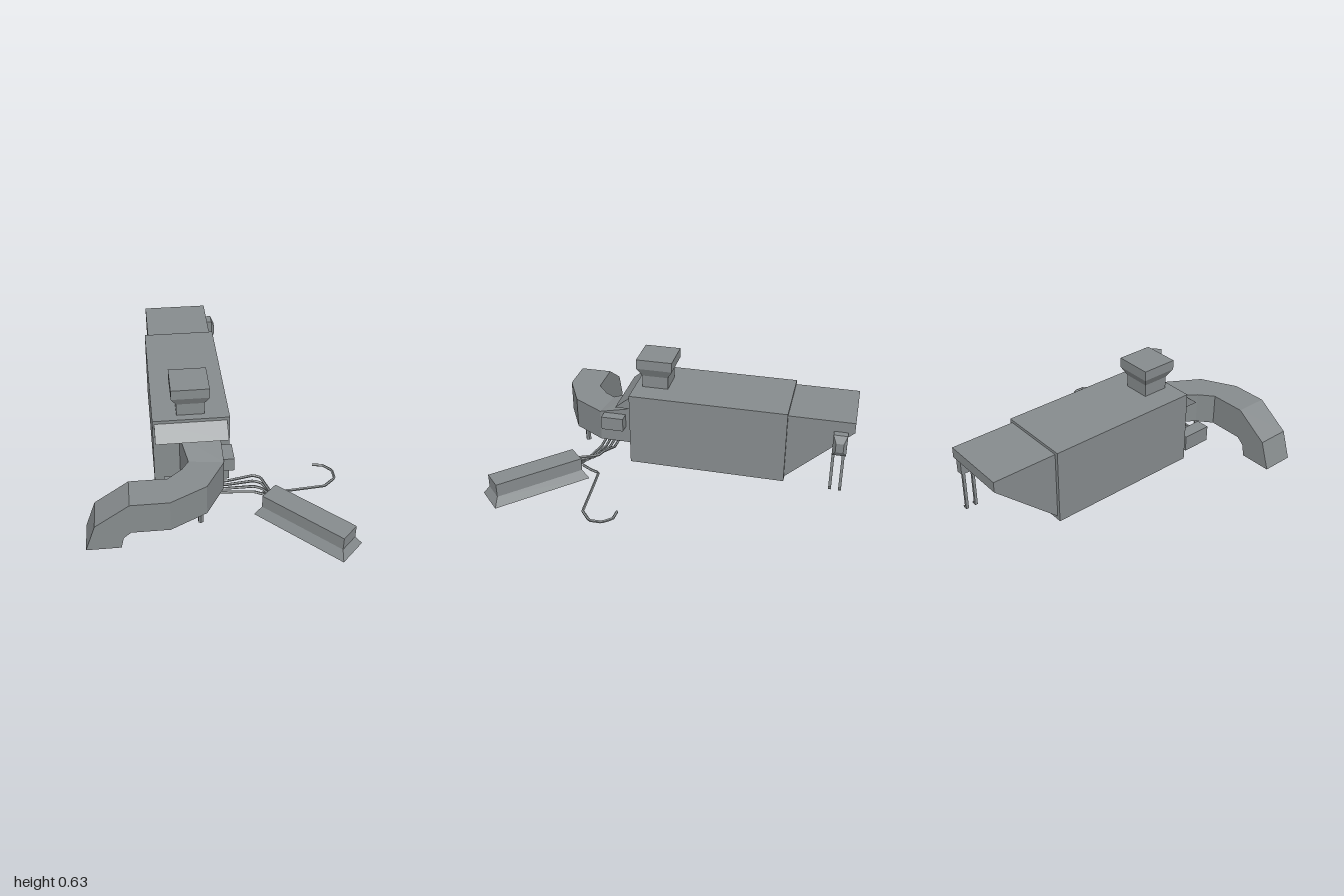
import * as THREE from 'three';

const grey = new THREE.MeshStandardMaterial({ color: 0x868b8d, flatShading: true });
grey.name = 'plain grey';

// Skin a row of equal-sided cross-sections, capped at both ends and facing outward
function loft(sections) {
  const pos = [];
  const tri = (a, b, c) => pos.push(...a, ...b, ...c);
  const n = sections[0].length;
  for (let s = 0; s < sections.length - 1; s++) {
    const a = sections[s], b = sections[s + 1];
    for (let i = 0; i < n; i++) {
      const j = (i + 1) % n;
      tri(a[i], a[j], b[j]);
      tri(a[i], b[j], b[i]);
    }
  }
  const first = sections[0], last = sections[sections.length - 1];
  for (let i = 1; i < n - 1; i++) {
    tri(first[0], first[i + 1], first[i]);
    tri(last[0], last[i], last[i + 1]);
  }
  // turn the faces over if the enclosed volume is negative
  let volume = 0;
  const v = (k) => new THREE.Vector3(pos[k], pos[k + 1], pos[k + 2]);
  for (let k = 0; k < pos.length; k += 9) volume += v(k).dot(v(k + 3).cross(v(k + 6)));
  if (volume < 0) {
    for (let k = 0; k < pos.length; k += 9) {
      for (let c = 0; c < 3; c++) [pos[k + 3 + c], pos[k + 6 + c]] = [pos[k + 6 + c], pos[k + 3 + c]];
    }
  }
  const g = new THREE.BufferGeometry();
  g.setAttribute('position', new THREE.Float32BufferAttribute(pos, 3));
  g.computeVertexNormals();
  return g;
}

// Horizontal rectangle at height y
const rectY = (x0, x1, z0, z1, y) => [[x0, y, z0], [x1, y, z0], [x1, y, z1], [x0, y, z1]];
// Upright rectangle at a given x
const rectX = (x, y0, y1, z0, z1) => [[x, y0, z0], [x, y1, z0], [x, y1, z1], [x, y0, z1]];

export function createModel() {
  const model = new THREE.Group();
  model.name = 'machine';

  const add = (name, geometry, parent = model) => {
    const mesh = new THREE.Mesh(geometry, grey);
    mesh.name = name;
    parent.add(mesh);
    return mesh;
  };
  const box = (name, x0, x1, y0, y1, z0, z1) => {
    const mesh = add(name, new THREE.BoxGeometry(x1 - x0, y1 - y0, z1 - z0));
    mesh.position.set((x0 + x1) / 2, (y0 + y1) / 2, (z0 + z1) / 2);
    return mesh;
  };
  // Side profile in (z, y) stretched between two x values
  const slab = (name, x0, x1, profile) =>
    add(name, loft([x0, x1].map((x) => profile.map(([z, y]) => [x, y, z]))));
  // Angular tube through a few points
  const wire = (name, points, radius = 0.008) => {
    const path = new THREE.CurvePath();
    const p = points.map((q) => new THREE.Vector3(...q));
    for (let i = 0; i < p.length - 1; i++) path.add(new THREE.LineCurve3(p[i], p[i + 1]));
    return add(name, new THREE.TubeGeometry(path, 40, radius, 5));
  };

  // Main housing, sloped rear hood and front awning
  box('housing', -0.34, 0.085, 0.018, 0.456, -0.63, 0.28);
  slab('rearHood', -0.32, 0.068, [[-0.63, 0.44], [-1, 0.44], [-1, 0.38], [-0.63, 0.04]]);
  slab('frontAwning', -0.33, 0.07, [[0.28, 0.437], [0.368, 0.365], [0.28, 0.365]]);

  // Flared chimney
  add('chimney', loft([
    rectY(-0.205, -0.05, 0.083, 0.235, 0.45),
    rectY(-0.205, -0.05, 0.083, 0.235, 0.528),
    rectY(-0.235, -0.024, 0.053, 0.263, 0.58),
    rectY(-0.235, -0.024, 0.053, 0.263, 0.637),
  ]));

  // Square duct that bends to the side and turns down to the ground:
  // each section is [inner x, inner z, outer x, outer z, bottom, top]
  const bend = [
    [-0.195, 0.28, 0.03, 0.28, 0.115, 0.345],
    [-0.16, 0.45, 0.03, 0.475, 0.115, 0.302],
    [-0.2, 0.51, -0.08, 0.66, 0.115, 0.302],
    [-0.28, 0.578, -0.28, 0.765, 0.115, 0.302],
  ].map(([ix, iz, ox, oz, b, t]) => [[ix, b, iz], [ix, t, iz], [ox, t, oz], [ox, b, oz]]);
  // each section is [bottom x, bottom y, top x, top y]
  const arm = [
    [-0.485, 0.115, -0.485, 0.302],
    [-0.525, 0.08, -0.67, 0.172],
    [-0.54, 0.013, -0.725, 0.013],
  ].map(([bx, by, tx, ty]) => [[bx, by, 0.578], [tx, ty, 0.578], [tx, ty, 0.765], [bx, by, 0.765]]);
  add('duct', loft([...bend, ...arm]));

  // Supporting peg and small boxes around the duct
  const peg = add('peg', new THREE.CylinderGeometry(0.016, 0.016, 0.105, 6));
  peg.position.set(-0.11, 0.0655, 0.61);
  box('ductSwitch', 0.028, 0.09, 0.22, 0.3, 0.32, 0.45);
  box('terminalBlock', -0.29, -0.21, 0.018, 0.115, 0.342, 0.52);

  // Clip on the rear side with two thin prongs
  add('clip', loft([
    rectX(0.066, 0.25, 0.377, -0.965, -0.887),
    rectX(0.108, 0.25, 0.377, -0.965, -0.887),
    rectX(0.128, 0.28, 0.335, -0.948, -0.905),
  ]));
  for (const z of [-0.894, -0.95]) {
    box('prong', 0.07, 0.084, 0.02, 0.255, z - 0.008, z + 0.008);
    box('prongFoot', 0.07, 0.098, 0.014, 0.022, z - 0.008, z + 0.008);
  }

  // Long pedal with a flared skirt, set at an angle
  const pedal = add('pedal', loft([
    rectY(-0.285, 0.285, -0.09, 0.09, 0.016),
    rectY(-0.256, 0.256, -0.06, 0.06, 0.066),
    rectY(-0.256, 0.256, -0.06, 0.06, 0.142),
  ]));
  pedal.position.set(0.45, 0, 0.727);
  pedal.rotation.y = -Math.PI / 4;

  // Four leads from the terminal block to the pedal
  for (let i = 0; i < 4; i++) {
    const z = 0.38 + i * 0.028;
    const y = 0.138 - i * 0.016;
    wire('lead', [
      [-0.215, 0.09, z],
      [0.06, 0.09 - i * 0.003, z + 0.004],
      [0.2, y, z + 0.028],
      [0.24, y - 0.004, z + 0.044],
      [0.275 + i * 0.005, y - 0.012, 0.53],
    ]);
  }

  // Loose lead lying on the ground with a hooked end
  wire('looseLead', [
    [0.28, 0.08, 0.51], [0.265, 0.04, 0.46], [0.25, 0.02, 0.425], [0.42, 0.012, 0.412],
    [0.62, 0.012, 0.395], [0.69, 0.012, 0.335], [0.69, 0.012, 0.265],
    [0.645, 0.012, 0.215], [0.585, 0.016, 0.21],
  ]);

  return model;
}
